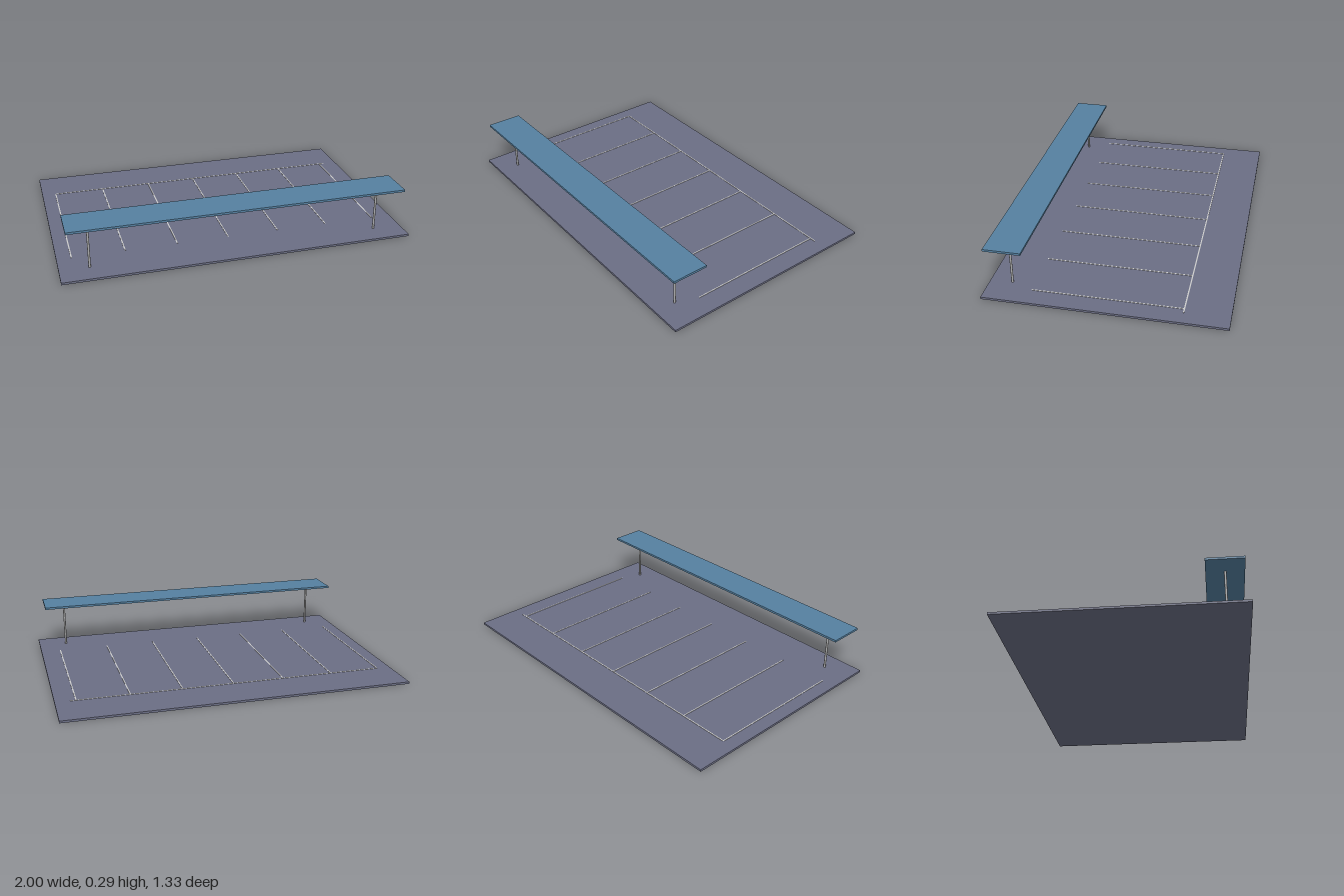
import * as THREE from 'three';

export function createModel() {
  const group = new THREE.Group();
  const asphalt = new THREE.MeshStandardMaterial({ color: 0x6b6e84 });
  const paint = new THREE.MeshStandardMaterial({ color: 0xcccccc });
  const steel = new THREE.MeshStandardMaterial({ color: 0xaaaaaa });
  const roofBlue = new THREE.MeshStandardMaterial({ color: 0x5580a0 });

  const add = (name, geometry, material, x, y, z) => {
    const mesh = new THREE.Mesh(geometry, material);
    mesh.name = name;
    mesh.position.set(x, y, z);
    group.add(mesh);
  };
  const box = (w, h, d) => new THREE.BoxGeometry(w, h, d);

  // Paved ground slab
  const slabTop = 0.0125;
  add('pavement', box(2, slabTop, 1.333), asphalt, 0, slabTop / 2, 0);

  // Painted bay lines: seven dividers and one line along the back
  const lineWidth = 0.0067, lineHeight = 0.002;
  const lineY = slabTop + lineHeight / 2;
  for (let i = 0; i < 7; i++) {
    add('bayLine', box(lineWidth, lineHeight, 0.833), paint, -0.917 + i * 0.3, lineY, 0);
  }
  add('backLine', box(1.833, lineHeight, lineWidth), paint, 0, lineY, -0.417);

  // Canopy on two slim round posts near the front edge
  const canopyZ = 0.542, canopyBottom = 0.28;
  add('canopyRoof', box(1.915, 0.0125, 0.208), roofBlue, 0, canopyBottom + 0.00625, canopyZ);
  const postHeight = canopyBottom - slabTop;
  for (const side of [-1, 1]) {
    add('canopyPost', new THREE.CylinderGeometry(0.0065, 0.0065, postHeight, 12), steel,
      side * 0.833, slabTop + postHeight / 2, canopyZ);
  }
  return group;
}
